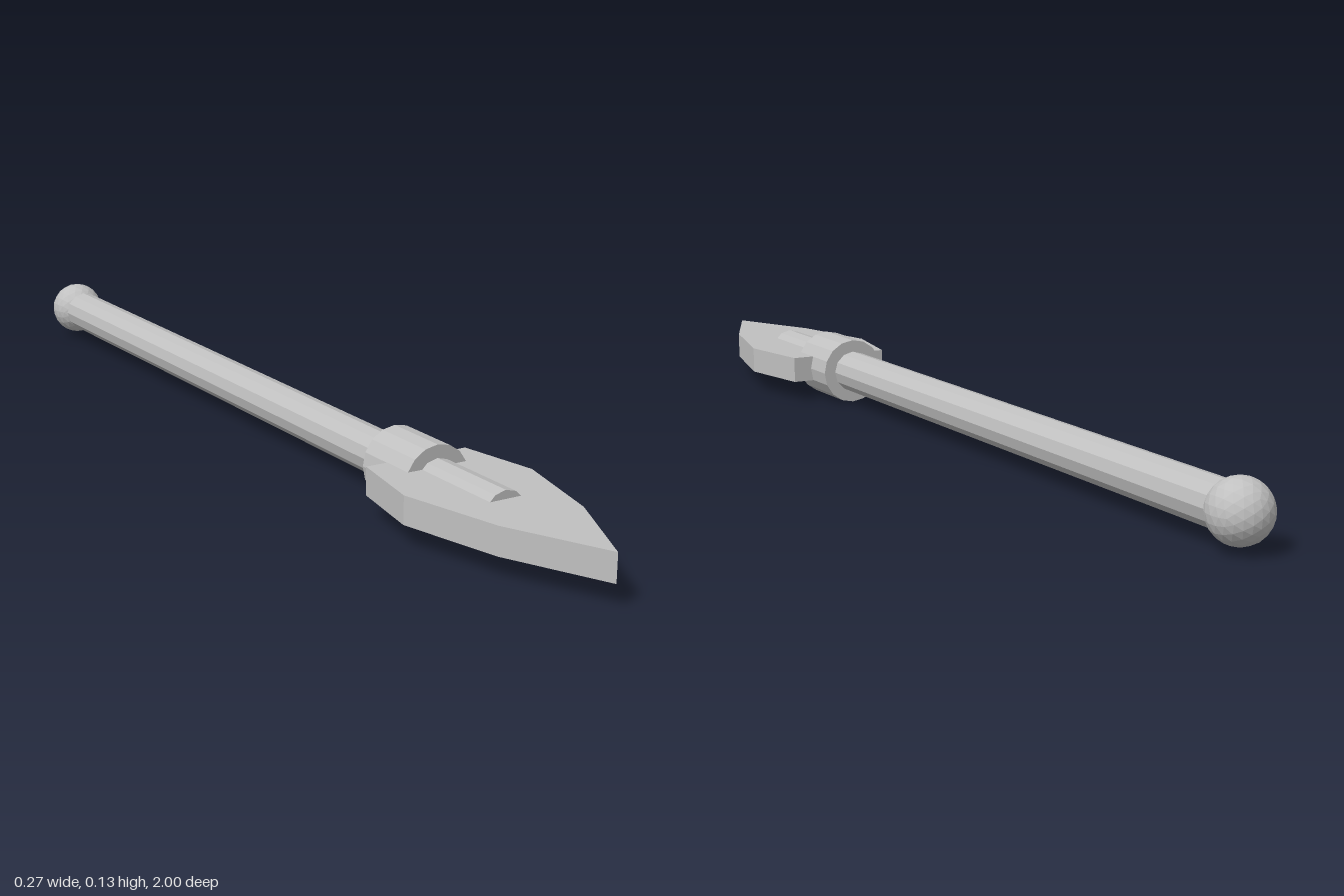
import * as THREE from 'three';

const AXIS_Y = 0.0665;

export function createModel() {
  const model = new THREE.Group();
  model.name = 'spear';
  const grey = new THREE.MeshStandardMaterial({ color: 0xc0c0c0, flatShading: true });
  grey.name = 'plain grey';

  const add = (name, geometry) => {
    const mesh = new THREE.Mesh(geometry, grey);
    mesh.name = name;
    model.add(mesh);
  };

  // Cylinder lying along z between two stations
  const rod = (name, radius, z0, z1, sides) => {
    const g = new THREE.CylinderGeometry(radius, radius, z1 - z0, sides);
    g.rotateX(Math.PI / 2);
    g.translate(0, AXIS_Y, (z0 + z1) / 2);
    add(name, g);
  };

  rod('shaft', 0.042, -0.93, 0.72, 12);
  rod('collar', 0.0665, 0.395, 0.527, 16);

  // Faceted ball at the butt end
  const ball = new THREE.IcosahedronGeometry(0.056, 3);
  ball.translate(0, AXIS_Y, -0.944);
  add('pommel', ball);

  // Flat leaf blade: half outline as [x, z], mirrored across the centre
  const half = [[0.105, 0.464], [0.133, 0.62], [0.086, 0.815]];
  const outline = [
    ...half,
    [0, 1],
    ...half.map(([x, z]) => [-x, z]).reverse(),
  ].map(([x, z]) => new THREE.Vector2(x, z));
  const thickness = 0.052;
  const blade = new THREE.ExtrudeGeometry(new THREE.Shape(outline), { depth: thickness, bevelEnabled: false });
  blade.rotateX(Math.PI / 2);
  blade.translate(0, AXIS_Y + thickness / 2, 0);
  add('blade', blade);

  return model;
}
